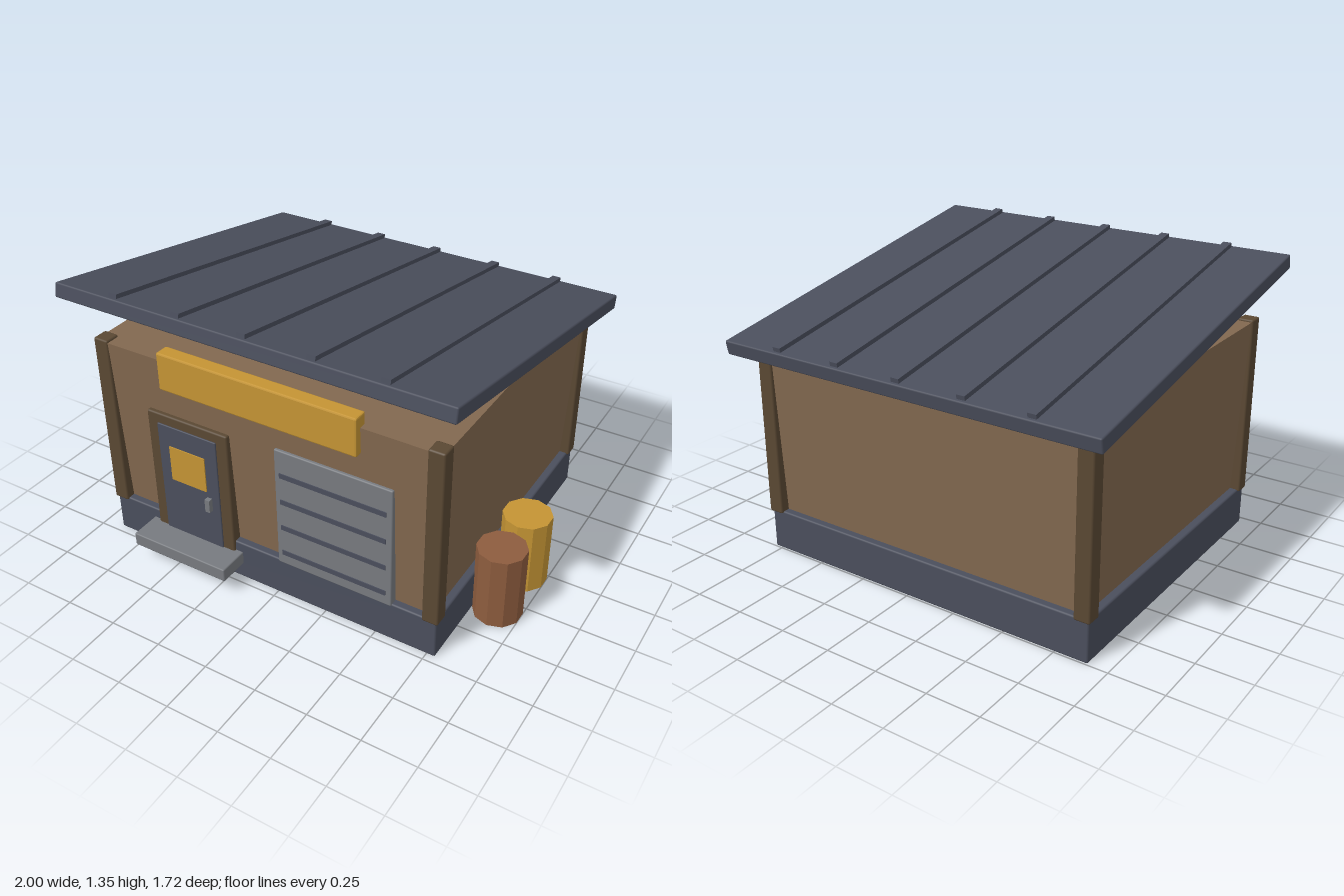
import * as THREE from 'three';
import { RoundedBoxGeometry } from 'three/addons/geometries/RoundedBoxGeometry.js';

const paint = (name, color, flatShading = false) => {
  const m = new THREE.MeshStandardMaterial({ color, flatShading });
  m.name = name;
  return m;
};

export function createModel() {
  const slate = paint('slate', 0x4a4e5c);
  const plaster = paint('wall brown', 0x82684f);
  const timber = paint('dark timber', 0x5a4833);
  const yellow = paint('yellow', 0xc49434);
  const steel = paint('steel grey', 0x777a7f);
  const rust = paint('rust brown', 0x8d5c3e);

  const model = new THREE.Group();
  model.name = 'shed';

  const add = (parent, name, geometry, material, x, y, z) => {
    const mesh = new THREE.Mesh(geometry, material);
    mesh.name = name;
    mesh.position.set(x, y, z);
    parent.add(mesh);
    return mesh;
  };
  // Box given by its limits on each axis, with an optional small bevel
  const box = (name, material, [x0, x1], [y0, y1], [z0, z1], bevel = 0, parent = model) => {
    const size = [x1 - x0, y1 - y0, z1 - z0];
    const geometry = bevel ? new RoundedBoxGeometry(...size, 1, bevel) : new THREE.BoxGeometry(...size);
    return add(parent, name, geometry, material, (x0 + x1) / 2, (y0 + y1) / 2, (z0 + z1) / 2);
  };

  // Plinth
  const midX = -0.057, midZ = -0.015;
  box('foundation', slate, [-0.905, 0.79], [0, 0.195], [-0.745, 0.715], 0.008);

  // Walls, leaning slightly outwards to the top
  const wallGeometry = new THREE.BoxGeometry(1.7, 0.85, 1.47);
  const p = wallGeometry.attributes.position;
  for (let i = 0; i < p.count; i++) {
    if (p.getY(i) < 0) {
      p.setX(i, p.getX(i) - Math.sign(p.getX(i)) * 0.04);
      p.setZ(i, p.getZ(i) - Math.sign(p.getZ(i)) * 0.04);
    }
  }
  wallGeometry.computeVertexNormals();
  add(model, 'walls', wallGeometry, plaster, midX, 0.61, midZ);

  // Corner posts
  for (const sx of [-1, 1]) {
    for (const sz of [-1, 1]) {
      add(model, 'cornerPost', new RoundedBoxGeometry(0.075, 0.86, 0.075, 1, 0.008), timber,
        midX + sx * 0.82, 0.615, midZ + sz * 0.7025);
    }
  }

  // Sloping roof with standing seams
  const roof = new THREE.Group();
  roof.name = 'roof';
  roof.position.set(midX, 1.145, midZ);
  roof.rotation.x = -0.18;
  model.add(roof);
  add(roof, 'roofSlab', new RoundedBoxGeometry(1.885, 0.068, 1.7, 1, 0.007), slate, 0, 0, 0);
  for (let i = -2; i <= 2; i++) {
    box('roofSeam', slate, [i * 0.321 - 0.02, i * 0.321 + 0.02], [0.02, 0.054], [-0.835, 0.835], 0, roof);
  }

  // Signboard, left blank
  box('signboard', yellow, [-0.545, 0.43], [0.91, 1.09], [0.68, 0.75], 0.007);

  // Door with frame, window, handle and step
  box('doorFrame', timber, [-0.65, -0.222], [0.05, 0.763], [0.655, 0.728], 0.008);
  box('door', slate, [-0.595, -0.28], [0.07, 0.715], [0.7, 0.734], 0.004);
  box('doorWindow', yellow, [-0.535, -0.345], [0.435, 0.612], [0.731, 0.739]);
  box('doorHandle', steel, [-0.346, -0.321], [0.34, 0.405], [0.73, 0.757]);
  box('doorStep', steel, [-0.69, -0.185], [0.08, 0.145], [0.69, 0.86], 0.006);

  // Roller shutter with dark grooves
  box('shutter', steel, [0.015, 0.58], [0.187, 0.787], [0.66, 0.722], 0.006);
  for (let i = 0; i < 4; i++) {
    const y = 0.252 + i * 0.137;
    box('shutterGroove', slate, [0.04, 0.553], [y - 0.012, y + 0.012], [0.718, 0.726]);
  }

  // Two ten-sided barrels beside the right-hand wall
  for (const [name, color, z] of [['rustBarrel', rust, 0.32], ['yellowBarrel', yellow, 0.055]]) {
    color.flatShading = true;
    add(model, name, new THREE.CylinderGeometry(0.112, 0.112, 0.355, 10), color, 0.893, 0.1775, z);
  }

  return model;
}
